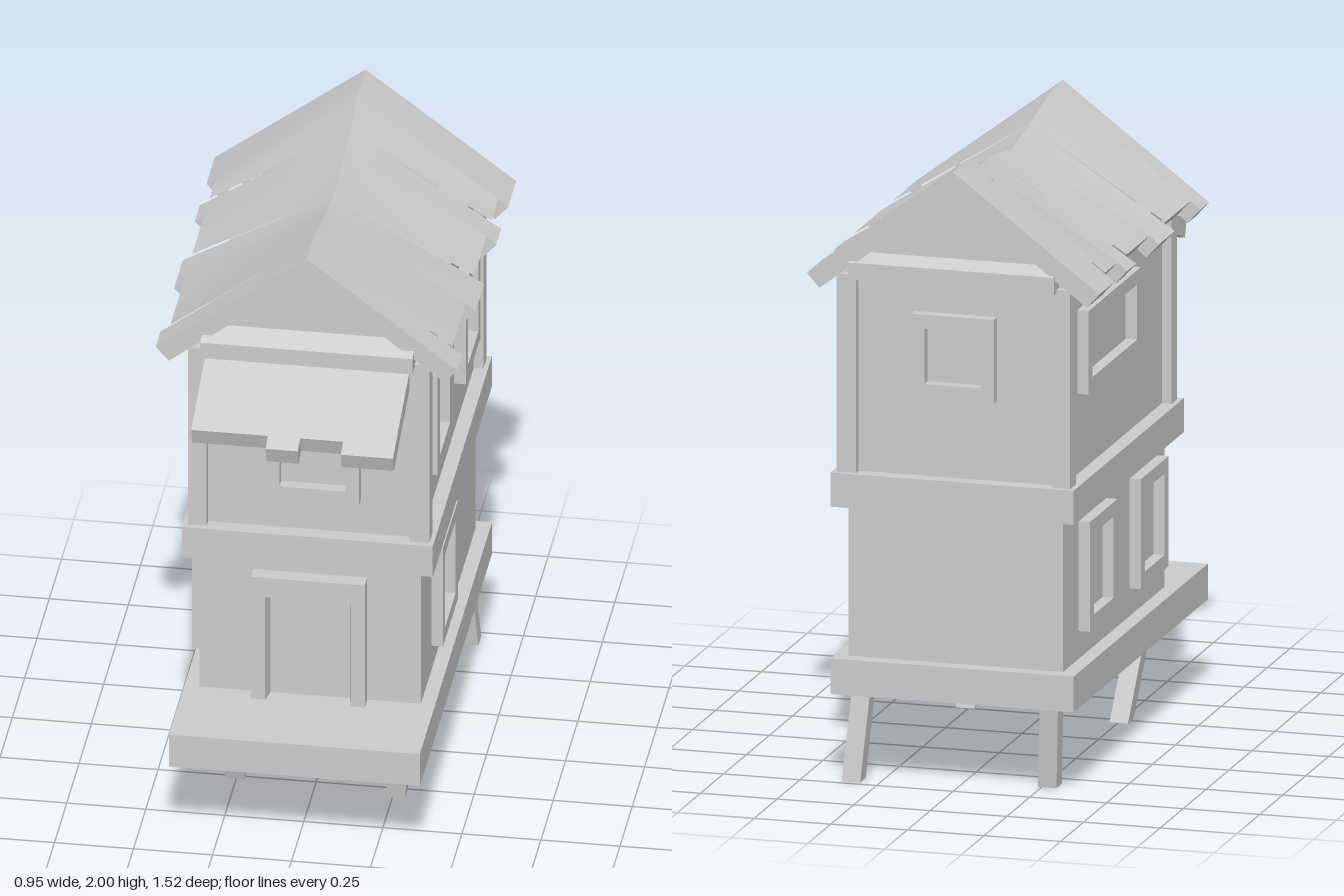
import * as THREE from 'three';
import { toCreasedNormals } from 'three/addons/utils/BufferGeometryUtils.js';

const grey = new THREE.MeshStandardMaterial({ color: 0xcccccc });

export function createModel() {
  const model = new THREE.Group();
  const add = (name, geometry) => {
    const mesh = new THREE.Mesh(geometry, grey);
    mesh.name = name;
    model.add(mesh);
    return mesh;
  };
  // Box given by its limits on each axis
  const box = (name, x0, x1, y0, y1, z0, z1) =>
    add(name, new THREE.BoxGeometry(x1 - x0, y1 - y0, z1 - z0))
      .position.set((x0 + x1) / 2, (y0 + y1) / 2, (z0 + z1) / 2);
  const outline = (pts) => new THREE.Shape(pts.map(([x, y]) => new THREE.Vector2(x, y)));
  const extrude = (shape, depth) => new THREE.ExtrudeGeometry(shape, { depth, bevelEnabled: false });

  // Floors and walls
  box('baseDeck', -0.393, 0.4, 0.285, 0.4, -0.752, 0.712);
  box('lowerWalls', -0.345, 0.355, 0.4, 0.89, -0.705, 0.4);
  box('middleBand', -0.393, 0.4, 0.89, 1, -0.752, 0.45);
  box('upperWalls', -0.345, 0.355, 1, 1.645, -0.705, 0.4);

  // Corner posts
  for (const [x0, x1] of [[-0.377, -0.318], [0.322, 0.386]])
    for (const [z0, z1] of [[-0.735, -0.672], [0.37, 0.43]])
      box('cornerPost', x0, x1, 1, 1.64, z0, z1);

  // Slanted legs: top x, z then bottom x, z
  const legs = [
    ['frontLeftLeg', 0.295, 0.335, 0.26, 0.28],
    ['frontRightLeg', -0.285, 0.335, -0.252, 0.242],
    ['backLeftLeg', 0.32, -0.655, 0.34, -0.7],
    ['backRightLeg', -0.285, -0.63, -0.268, -0.59],
  ];
  for (const [name, tx, tz, bx, bz] of legs) {
    const geo = new THREE.BoxGeometry(0.06, 0.29, 0.06).translate(0, 0.145, 0);
    const p = geo.attributes.position;
    for (let i = 0; i < p.count; i++) {
      const top = p.getY(i) > 0.1;
      p.setX(i, p.getX(i) + (top ? tx : bx));
      p.setZ(i, p.getZ(i) + (top ? tz : bz));
    }
    geo.computeVertexNormals();
    add(name, geo);
  }

  // Window frames: rectangular rings standing out from the wall
  const windowFrame = (name, w, h, x, y, z, turn) => {
    const rect = (a, b) => [[-a, -b], [a, -b], [a, b], [-a, b]];
    const shape = outline(rect(w / 2, h / 2));
    shape.holes.push(outline(rect(w / 2 - 0.043, h / 2 - 0.046)));
    const mesh = add(name, extrude(shape, 0.037));
    mesh.position.set(x, y, z);
    mesh.rotation.y = turn;
  };
  const q = Math.PI / 2;
  windowFrame('frontWindow', 0.295, 0.36, 0.017, 1.3, 0.4, 0);
  windowFrame('backWindow', 0.27, 0.27, 0.005, 1.395, -0.705, Math.PI);
  windowFrame('leftUpperWindow', 0.297, 0.36, 0.355, 1.35, 0.15, q);
  windowFrame('leftUpperWindow', 0.297, 0.36, 0.355, 1.35, -0.424, q);
  windowFrame('leftLowerWindow', 0.3, 0.355, 0.355, 0.667, 0.04, q);
  windowFrame('rightUpperWindow', 0.57, 0.27, -0.345, 1.395, -0.265, -q);
  windowFrame('rightLowerWindow', 0.3, 0.355, -0.345, 0.667, -0.385, -q);
  windowFrame('rightLowerWindow', 0.3, 0.355, -0.345, 0.667, 0.17, -q);

  // Door frame, its opening narrowing toward the wall
  const doorGeo = extrude(outline([[-0.18, 0], [-0.135, 0], [-0.135, 0.37], [0.135, 0.37],
    [0.135, 0], [0.18, 0], [0.18, 0.44], [-0.18, 0.44]]), 0.05);
  const dp = doorGeo.attributes.position;
  for (let i = 0; i < dp.count; i++) {
    if (dp.getZ(i) > 0.01 || Math.abs(dp.getX(i)) > 0.15) continue;
    dp.setX(i, dp.getX(i) * 0.93);
    if (dp.getY(i) > 0.1) dp.setY(i, 0.353);
  }
  doorGeo.computeVertexNormals();
  add('doorFrame', doorGeo).position.set(0.005, 0.4, 0.4);

  // Gable panels and the sloped beams beneath them
  for (const z of [-0.705, 0.36])
    add('gable', extrude(outline([[-0.375, 1.635], [0.375, 1.635], [0, 1.93]]), 0.04)).position.z = z;
  const beamGeo = extrude(outline([[0, 1.63], [0.07, 1.63], [0.07, 1.685], [0, 1.715]]), 0.672);
  const frontBeam = add('frontBeam', beamGeo);
  frontBeam.position.set(0.34, 0, 0.404);
  frontBeam.rotation.y = -q;
  const backBeam = add('backBeam', beamGeo);
  backBeam.position.set(-0.332, 0, -0.69);
  backBeam.rotation.y = q;

  // Awning with a ragged front edge
  const awning = add('awning', extrude(outline([[-0.323, 0], [-0.323, -0.335], [-0.08, -0.335],
    [-0.08, -0.388], [0.022, -0.388], [0.022, -0.335], [0.158, -0.335], [0.158, -0.388],
    [0.323, -0.388], [0.323, 0]]), 0.06).translate(0, 0, -0.06));
  awning.position.set(0, 1.623, 0.4);
  awning.rotation.x = -70 * Math.PI / 180;

  add('roof', roofGeometry());
  return model;
}

// Sagging roof: cross-sections along z, doubled where the eave steps in or out
function roofGeometry() {
  const stations = [[0.445, 2], [0.347, 2], [0.073, 1.948], [-0.102, 1.915],
    [-0.348, 1.95], [-0.45, 1.95], [-0.585, 2], [-0.752, 2]];
  const rings = [];
  for (let i = 0; i < stations.length - 1; i++) {
    const long = i % 2 === 0;
    const [ex, ey] = long ? [0.477, 1.64] : [0.446, 1.667];
    const [ix, iy] = long ? [0.436, 1.594] : [0.405, 1.621];
    for (const [z, ridge] of [stations[i], stations[i + 1]])
      rings.push([[-ex, ey, z], [0, ridge, z], [ex, ey, z], [ix, iy, z], [0, ridge - 0.073, z], [-ix, iy, z]]);
  }
  const v = [];
  const quad = (a, b, c, d) => v.push(...a, ...b, ...c, ...a, ...c, ...d);
  for (let r = 0; r < rings.length - 1; r++) {
    const a = rings[r], b = rings[r + 1];
    for (let k = 0; k < 6; k++) {
      const n = (k + 1) % 6;
      // Between doubled sections only the eave step has any area
      if (r % 2 === 1 && k !== 2 && k !== 5) continue;
      quad(a[k], a[n], b[n], b[k]);
    }
  }
  // End caps
  const f = rings[0], e = rings[rings.length - 1];
  quad(f[0], f[5], f[4], f[1]);
  quad(f[1], f[4], f[3], f[2]);
  quad(e[0], e[1], e[4], e[5]);
  quad(e[1], e[2], e[3], e[4]);
  const geo = new THREE.BufferGeometry();
  geo.setAttribute('position', new THREE.Float32BufferAttribute(v, 3));
  return toCreasedNormals(geo, 0.5);
}
